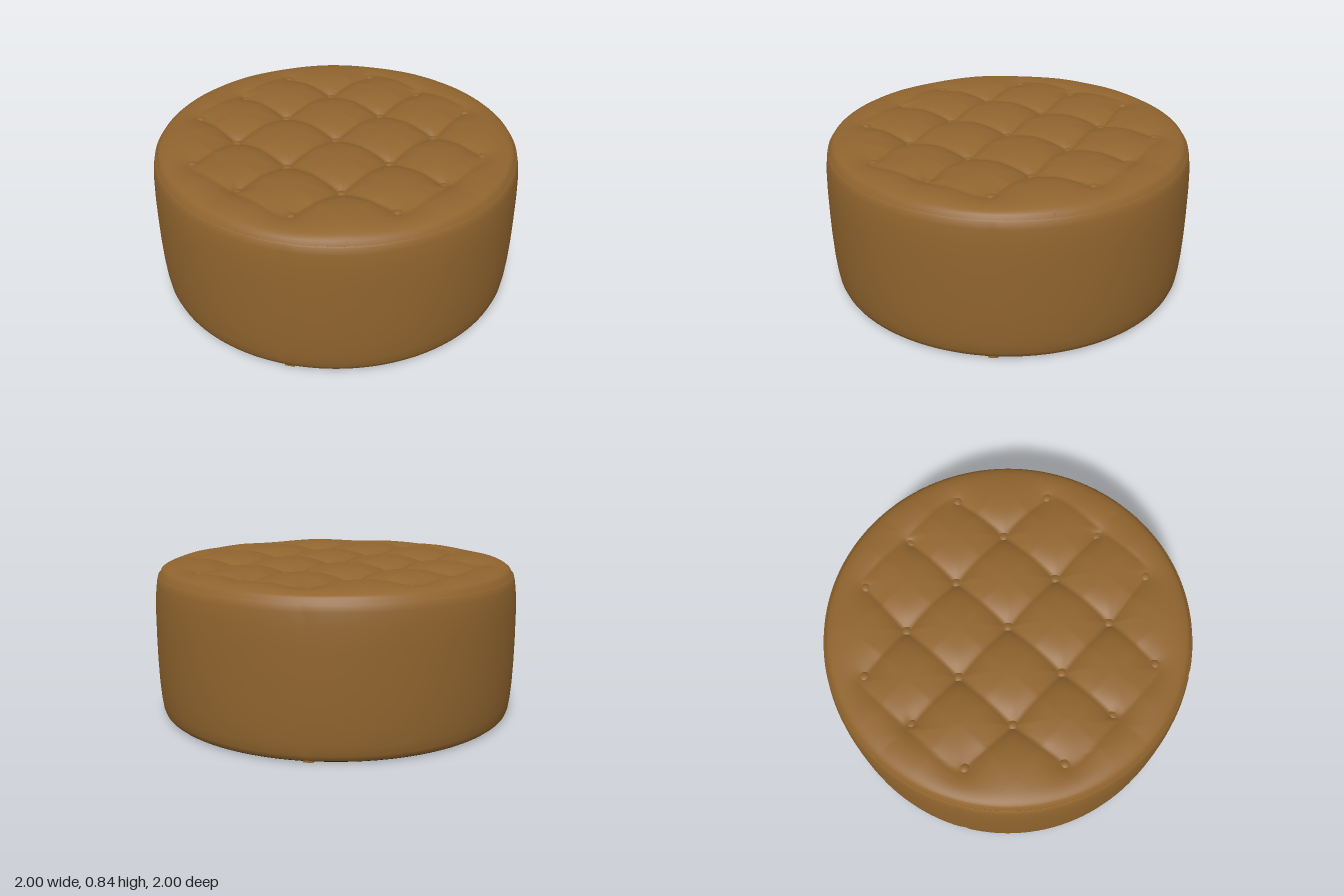
import * as THREE from 'three';
import { toCreasedNormals } from 'three/addons/utils/BufferGeometryUtils.js';

const PITCH = 0.38;    // spacing of the tufting grid
const RIM = 0.972;     // radius of the cushion
const CEILING = 0.745; // top of the hollow inside
const HOLLOW = 0.745;  // radius of the hollow inside
const smooth = THREE.MathUtils.smoothstep;
const rad = THREE.MathUtils.degToRad;

// Buttons sit on a 5 x 5 grid without its corners, the outer ones drawn inwards
const buttons = [];
for (let i = -2; i <= 2; i++) {
  for (let j = -2; j <= 2; j++) {
    const outer = Math.max(Math.abs(i), Math.abs(j)) === 2;
    if (Math.abs(i) + Math.abs(j) === 4) continue;
    const shrink = !outer ? 1 : i * j === 0 ? 0.955 : 0.937;
    buttons.push({ x: i * PITCH * shrink, z: j * PITCH * shrink, outer });
  }
}

// Depth of the crease lines running along one axis
function crease(across, along) {
  const line = Math.round(across / PITCH);
  const n = Math.abs(line);
  if (n > 2) return 0;
  const a = Math.abs(along);
  const end = [0.97, 0.72, 0.36][n];
  const depth = [0.026, 0.026, 0.016][n];
  const fade = 1 - smooth(a, end - 0.12, end + 0.06);
  const outer = n === 0 ? 1 - 0.85 * smooth(a, 0.7, 0.82) : 1;
  // Creases bow inwards towards their ends
  const centre = line * PITCH * (1 - 0.06 * smooth(a, 0.2 * (3 - n), 0.75));
  return depth * fade * outer * Math.exp(-Math.abs(across - centre) / 0.045);
}

// Height of the tufted cushion
function cushionHeight(x, z) {
  const r = Math.min(Math.hypot(x, z) / RIM, 1);
  const edge = Math.sqrt(1 - r ** 10);
  const dip = Math.max(crease(x, z), crease(z, x));
  let pull = 0;
  for (const b of buttons) {
    pull = Math.max(pull, (b.outer ? 0.032 : 0.052) * Math.exp(-Math.hypot(x - b.x, z - b.z) / 0.09));
  }
  return 0.77 + 0.072 * edge - (dip + pull) * Math.min(1, edge * 1.2);
}

// Square grid that eases into a disc towards its border
function cushionGeometry() {
  const geo = new THREE.PlaneGeometry(RIM * 2, RIM * 2, 158, 158).rotateX(-Math.PI / 2);
  const p = geo.attributes.position;
  for (let i = 0; i < p.count; i++) {
    let x = p.getX(i), z = p.getZ(i);
    const m = Math.max(Math.abs(x), Math.abs(z));
    const len = Math.hypot(x, z) || 1;
    const k = THREE.MathUtils.lerp(1, m / len, smooth(m, 0.4, RIM));
    if (m > 0) { x *= k; z *= k; }
    p.setXYZ(i, x, cushionHeight(x, z), z);
  }
  geo.computeVertexNormals();
  return geo;
}

const profile = (pts) => pts.map(([r, y]) => new THREE.Vector2(r, y));

// Upholstered wall with four shallow vertical seams
function wallGeometry() {
  const geo = new THREE.LatheGeometry(profile([
    [0.962, 0.008], [0.972, 0.016], [0.981, 0.04], [0.988, 0.09], [0.995, 0.18], [0.999, 0.3],
    [1, 0.42], [0.999, 0.56], [0.995, 0.66], [0.987, 0.73], [0.979, 0.765], [0.973, 0.772],
    [0.966, 0.768],
  ]), 180);
  const p = geo.attributes.position;
  for (let i = 0; i < p.count; i++) {
    const deg = Math.round(THREE.MathUtils.radToDeg(Math.atan2(p.getX(i), p.getZ(i))) + 360);
    const y = p.getY(i);
    if (deg % 90 === 28 && y > 0.03 && y < 0.75) {
      p.setX(i, p.getX(i) * 0.996);
      p.setZ(i, p.getZ(i) * 0.996);
    }
  }
  return toCreasedNormals(geo, 0.8);
}

export function createModel() {
  const leather = new THREE.MeshStandardMaterial({ color: 0x90642e });
  leather.name = 'brown leather';
  const lining = new THREE.MeshStandardMaterial({ color: 0x050505 });
  lining.name = 'black lining';

  const group = new THREE.Group();
  group.name = 'ottoman';
  const add = (name, geo, mat) => {
    const mesh = new THREE.Mesh(geo, mat);
    mesh.name = name;
    group.add(mesh);
    return mesh;
  };

  add('wall', wallGeometry(), leather);
  add('cushion', cushionGeometry(), leather);

  // Base ring and hollow inside
  const base = new THREE.LatheGeometry(profile([
    [0, CEILING], [HOLLOW, CEILING], [HOLLOW, 0.006], [0.96, 0.006], [0.964, 0.01],
  ]), 96);
  add('baseLining', toCreasedNormals(base, 0.6), lining);

  // Leather showing through the lining at the top of the hollow
  const bare = [[0.66, -48, 30], [0.69, -18, 20], [0.67, 2, 14]];
  for (const [inner, start, sweep] of bare) {
    add('bareLeather', new THREE.LatheGeometry(profile([
      [inner, CEILING - 0.003], [HOLLOW - 0.003, CEILING - 0.003],
    ]), 12, rad(start), rad(sweep)), leather);
  }
  add('bareLeather', new THREE.LatheGeometry(profile([
    [HOLLOW - 0.003, CEILING - 0.003], [HOLLOW - 0.003, 0.6],
  ]), 8, rad(-4), rad(20)), leather);

  // Folded seam ends under the wall
  for (let i = 0; i < 4; i++) {
    const a = rad(28 + i * 90);
    const tab = add('seamEnd', new THREE.BoxGeometry(0.05, 0.012, 0.02), leather);
    tab.position.set(Math.sin(a) * 0.955, 0.006, Math.cos(a) * 0.955);
    tab.rotation.y = a;
  }

  // Tufting buttons
  const buttonGeo = new THREE.SphereGeometry(0.029, 16, 10);
  for (const { x, z, outer } of buttons) {
    const button = add('button', buttonGeo, leather);
    button.position.set(x, cushionHeight(x, z) + (outer ? -0.002 : 0.006), z);
    button.scale.y = 0.6;
  }
  return group;
}
